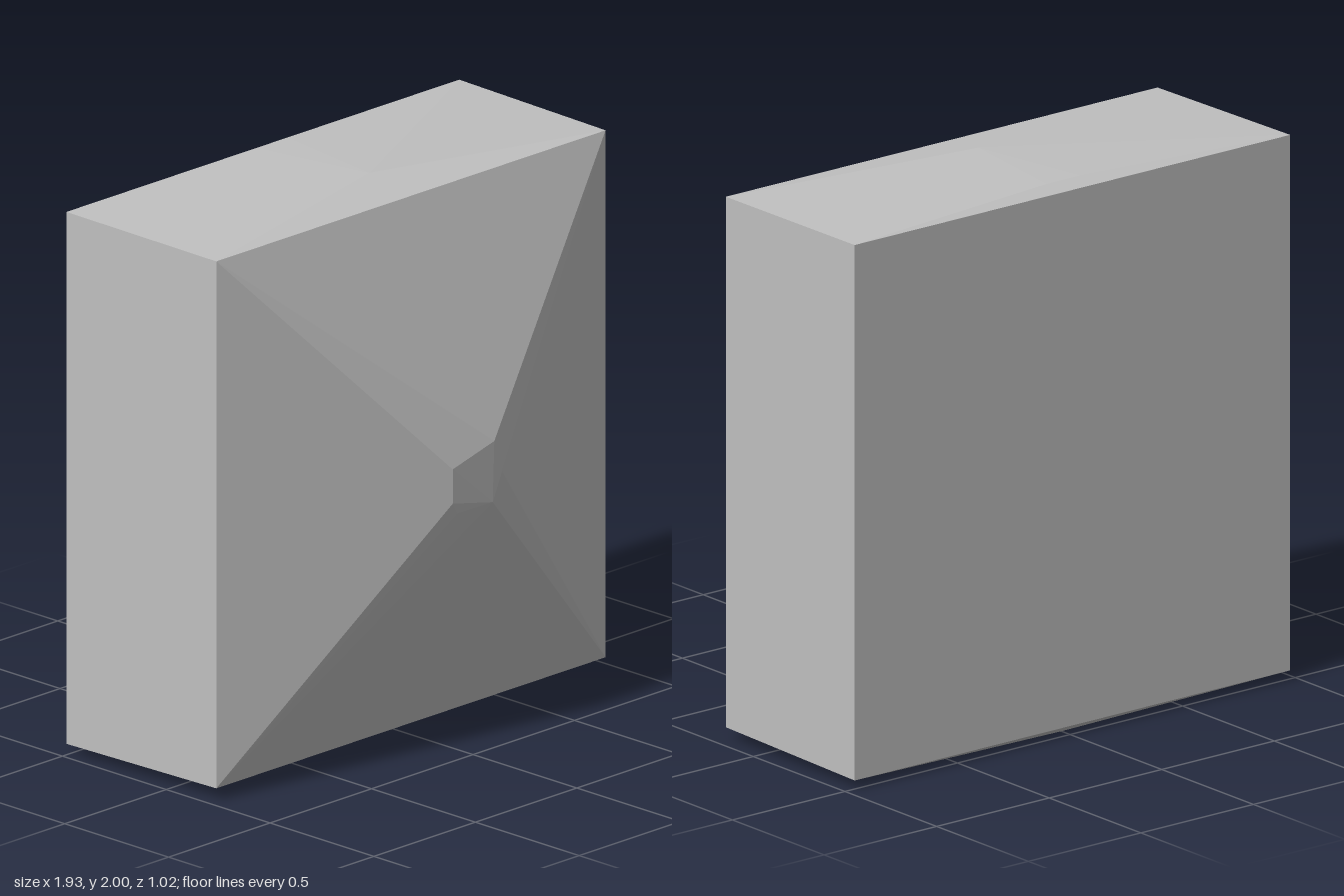
import * as THREE from 'three';
import { ConvexGeometry } from 'three/addons/geometries/ConvexGeometry.js';

export function createModel() {
  const group = new THREE.Group();
  group.name = 'facetedBlock';
  const stone = new THREE.MeshStandardMaterial({ color: 0xc0c0c0, flatShading: true });
  stone.name = 'light grey';

  const corners = [
    // back face corners
    [-0.97, 0.035, -0.51], [0.965, 0.035, -0.51], [-0.97, 1.975, -0.51], [0.965, 1.975, -0.51],
    // front rim corners
    [-0.963, 0.045, 0.205], [0.955, 0.045, 0.205], [-0.963, 1.967, 0.205], [0.955, 1.967, 0.205],
    // slight crown on the top
    [0, 2, 0], [-0.08, 1.999, -0.46], [0.07, 1.999, -0.46],
    // slight bulge underneath
    [-0.04, 0, -0.08], [0, 0.003, -0.46],
    // small blunt tip of the front pyramid
    [-0.11, 1.07, 0.51], [0.1, 1.12, 0.505], [0.14, 1.0, 0.503],
    [0.09, 0.9, 0.507], [-0.08, 0.9, 0.503], [-0.11, 0.945, 0.51],
  ];
  const geometry = new ConvexGeometry(corners.map((p) => new THREE.Vector3(...p)));
  const body = new THREE.Mesh(geometry, stone);
  body.name = 'pyramidFrontBlock';
  group.add(body);
  return group;
}
